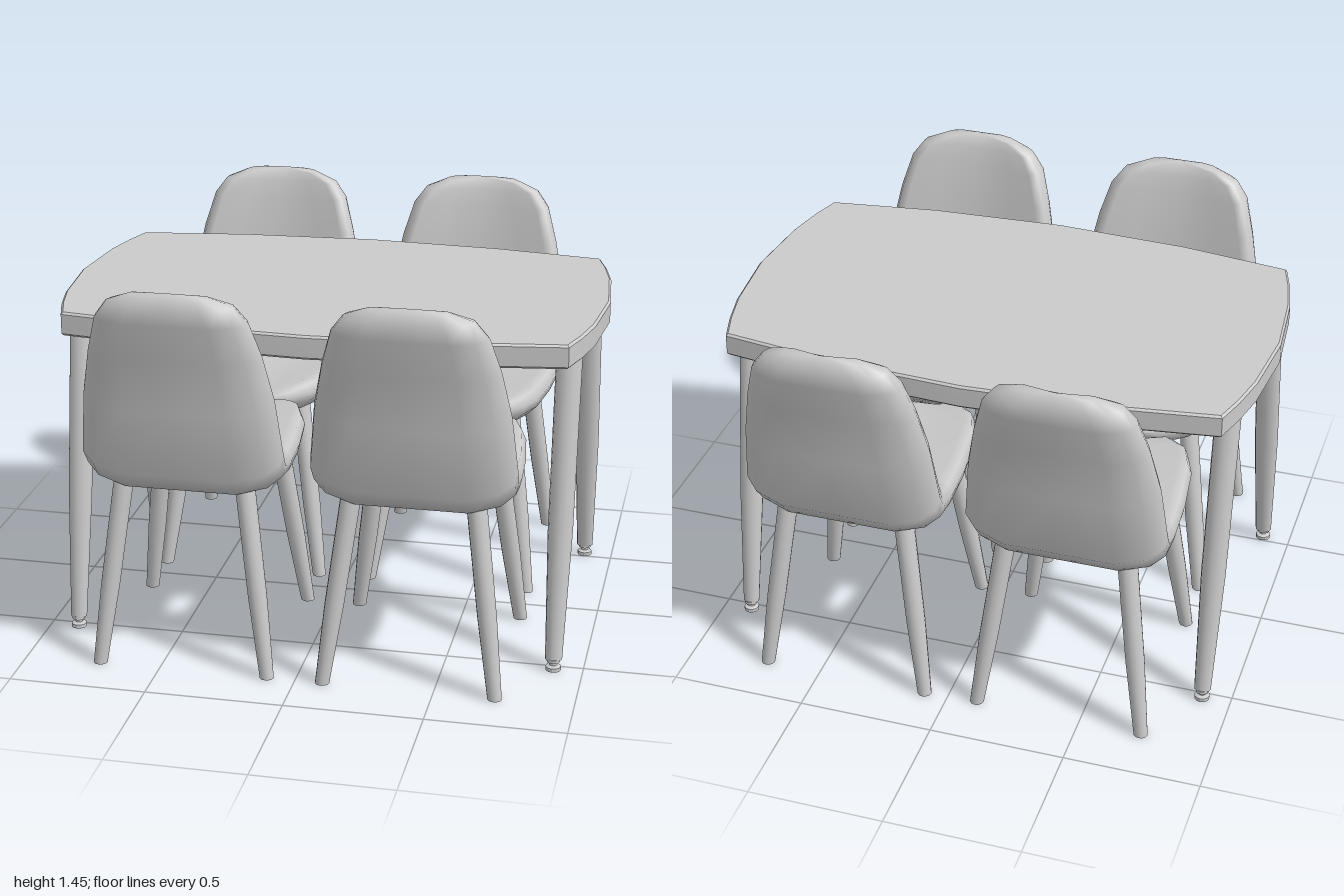
import * as THREE from 'three';
import { toCreasedNormals } from 'three/addons/utils/BufferGeometryUtils.js';

const material = new THREE.MeshStandardMaterial({ color: 0xcccccc });

function addMesh(parent, name, geometry) {
  const mesh = new THREE.Mesh(geometry, material);
  mesh.name = name;
  parent.add(mesh);
  return mesh;
}

// Tapered leg leaning from a bottom point to a top point, with level ends
function legGeometry(bottom, top, radii, depthScale = 1) {
  const [r0, r1, r2] = radii;
  const profile = [[0, 0], [r0, 0], [r1, 0.42], [r2, 1], [0, 1]].map(p => new THREE.Vector2(...p));
  const geometry = new THREE.LatheGeometry(profile, 12);
  const pos = geometry.attributes.position;
  for (let i = 0; i < pos.count; i++) {
    const t = pos.getY(i);
    pos.setXYZ(i,
      pos.getX(i) + THREE.MathUtils.lerp(bottom[0], top[0], t),
      THREE.MathUtils.lerp(bottom[1], top[1], t),
      pos.getZ(i) * depthScale + THREE.MathUtils.lerp(bottom[2], top[2], t));
  }
  return toCreasedNormals(geometry, 0.7);
}

// Seat and back in one padded shell. Each station: outer z, y, inner z, y, half width
const stations = [
  [0.02, 0.72, 0.02, 0.75, 0.14],
  [0.05, 0.69, 0.05, 0.785, 0.22],
  [0.12, 0.67, 0.11, 0.805, 0.285],
  [0.22, 0.66, 0.22, 0.807, 0.325],
  [0.42, 0.66, 0.42, 0.802, 0.35],
  [0.62, 0.663, 0.58, 0.805, 0.36],
  [0.77, 0.685, 0.655, 0.82, 0.362],
  [0.83, 0.755, 0.685, 0.87, 0.364],
  [0.855, 1.0, 0.725, 1.07, 0.342],
  [0.89, 1.2, 0.755, 1.22, 0.308],
  [0.927, 1.34, 0.785, 1.34, 0.27],
  [0.925, 1.4, 0.81, 1.4, 0.225],
  [0.905, 1.438, 0.845, 1.432, 0.14],
];
// Half of the cross-section: x as a share of the width, and -1 outside to 1 inside
const halfSection = [[0, -1], [0.55, -1], [0.85, -0.62], [0.98, -0.1], [1, 0.35], [0.95, 0.85], [0.84, 1], [0.5, 0.55], [0, 0.4]];

function shellGeometry() {
  const mirrored = halfSection.slice(1, -1).reverse().map(([x, n]) => [-x, n]);
  const section = [...halfSection, ...mirrored];
  const count = section.length;
  const vertices = [], index = [];
  for (const [oz, oy, iz, iy, w] of stations) {
    for (const [x, n] of section) {
      const t = (n + 1) / 2;
      vertices.push(x * w, THREE.MathUtils.lerp(oy, iy, t), THREE.MathUtils.lerp(oz, iz, t));
    }
  }
  const last = (stations.length - 1) * count;
  const frontCap = vertices.length / 3, topCap = frontCap + 1;
  vertices.push(0, 0.732, 0.018, 0, 1.445, 0.883);
  for (let j = 0; j < count; j++) {
    const k = (j + 1) % count;
    for (let i = 0; i < last; i += count) {
      index.push(i + j, i + k, i + count + k, i + j, i + count + k, i + count + j);
    }
    index.push(frontCap, k, j, topCap, last + j, last + k);
  }
  const geometry = new THREE.BufferGeometry();
  geometry.setAttribute('position', new THREE.Float32BufferAttribute(vertices, 3));
  geometry.setIndex(index);
  geometry.computeVertexNormals();
  return geometry;
}

function createChair() {
  const chair = new THREE.Group();
  addMesh(chair, 'seatShell', shellGeometry());
  const radii = [0.026, 0.035, 0.037];
  for (const side of [-1, 1]) {
    addMesh(chair, 'chairFrontLeg', legGeometry([side * 0.31, 0, 0.12], [side * 0.22, 0.69, 0.208], radii));
    addMesh(chair, 'chairRearLeg', legGeometry([side * 0.31, 0, 0.8], [side * 0.22, 0.71, 0.722], radii));
  }
  return chair;
}

function createTable() {
  const table = new THREE.Group();
  table.name = 'table';

  // Top with bowed sides and ends, from a quarter outline mirrored twice
  const quarter = [[1, 0], [0.975, 0.28], [0.945, 0.42], [0.91, 0.535], [0.5, 0.593], [0, 0.62]];
  const half = [...quarter, ...quarter.slice(0, -1).reverse().map(([x, z]) => [-x, z])];
  const outline = [...half, ...half.slice(1, -1).reverse().map(([x, z]) => [x, -z])];
  const bevel = 0.008;
  const top = new THREE.ExtrudeGeometry(new THREE.Shape(outline.map(p => new THREE.Vector2(...p))), {
    depth: 0.088 - 2 * bevel, bevelThickness: bevel, bevelSize: bevel, bevelOffset: -bevel, bevelSegments: 1,
  });
  top.rotateX(-Math.PI / 2).translate(0, 1.148 + bevel, 0);
  addMesh(table, 'tableTop', toCreasedNormals(top, 0.5));

  // Splayed legs with levelling feet
  const footProfile = [[0, 0], [0.028, 0], [0.028, 0.014], [0.014, 0.02], [0.014, 0.028], [0.024, 0.032], [0.024, 0.045], [0, 0.045]]
    .map(p => new THREE.Vector2(...p));
  for (const sx of [-1, 1]) {
    for (const sz of [-1, 1]) {
      addMesh(table, 'tableLeg', legGeometry([sx * 0.893, 0.042, sz * 0.525], [sx * 0.893, 1.16, sz * 0.343], [0.031, 0.045, 0.047], 0.82));
      const foot = addMesh(table, 'tableFoot', toCreasedNormals(new THREE.LatheGeometry(footProfile, 12), 0.5));
      foot.position.set(sx * 0.893, 0, sz * 0.528);
    }
  }
  return table;
}

export function createModel() {
  const model = new THREE.Group();
  model.name = 'diningSet';
  model.add(createTable());

  // Two chairs on each long side, facing the table
  const places = [
    ['frontRightChair', -0.414, 0, 0],
    ['frontLeftChair', 0.409, 0, 0],
    ['backRightChair', -0.42, 0.008, Math.PI],
    ['backLeftChair', 0.399, -0.005, Math.PI],
  ];
  for (const [name, x, z, turn] of places) {
    const chair = createChair();
    chair.name = name;
    chair.position.set(x, 0, z);
    chair.rotation.y = turn;
    model.add(chair);
  }
  return model;
}
